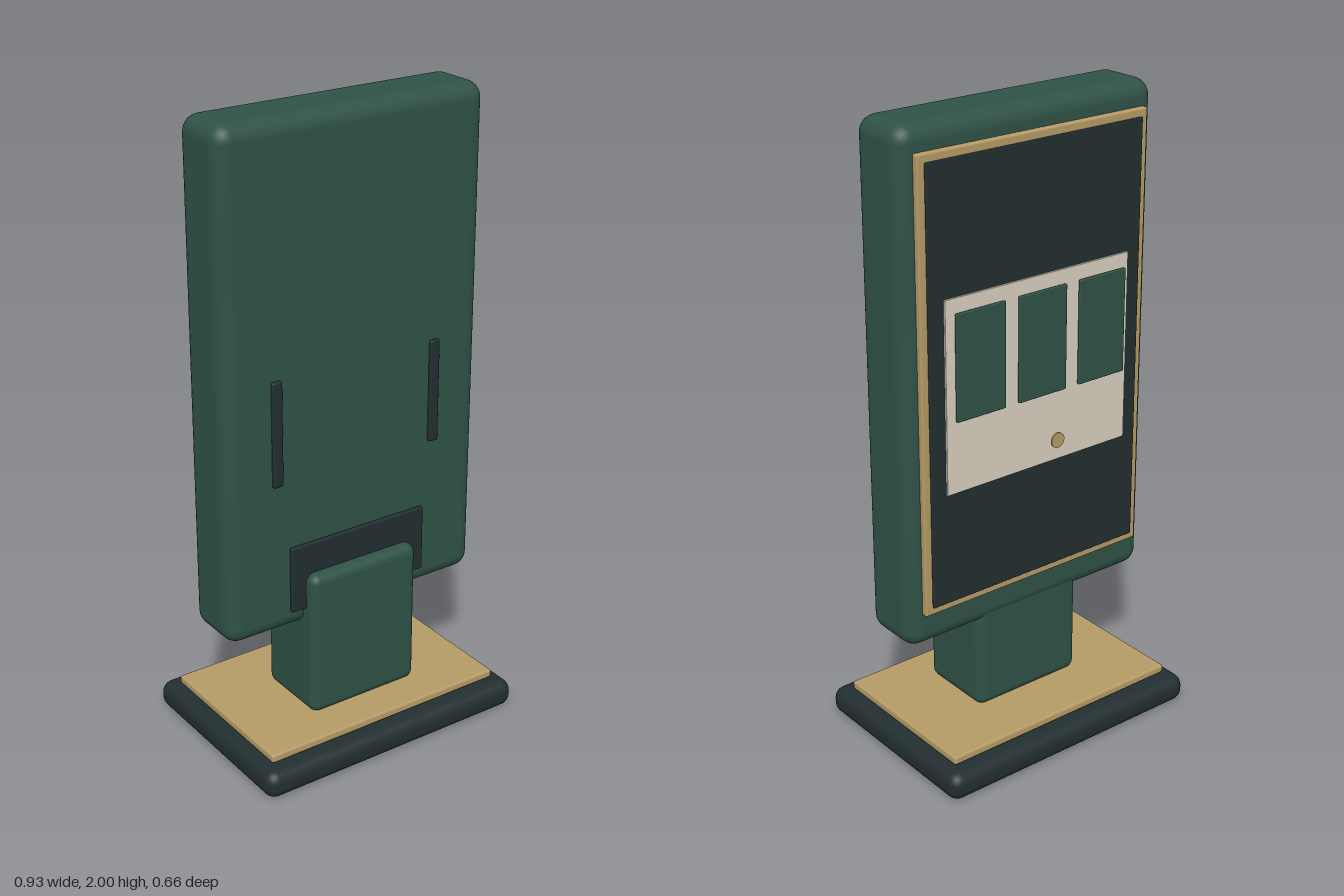
import * as THREE from 'three';
import { RoundedBoxGeometry } from 'three/addons/geometries/RoundedBoxGeometry.js';

function material(name, color) {
  const m = new THREE.MeshStandardMaterial({ color });
  m.name = name;
  return m;
}

export function createModel() {
  const green = material('deep green', 0x2f5246);
  const dark = material('charcoal', 0x222e30);
  const gold = material('brass', 0xb59b66);
  const cream = material('cream', 0xd8cfbf);

  const model = new THREE.Group();
  model.name = 'displayKiosk';

  // Rounded box given by its extents along each axis
  function box(name, mat, [x0, x1], [y0, y1], [z0, z1], radius) {
    const geo = new RoundedBoxGeometry(x1 - x0, y1 - y0, z1 - z0, 4, radius);
    const mesh = new THREE.Mesh(geo, mat);
    mesh.name = name;
    mesh.position.set((x0 + x1) / 2, (y0 + y1) / 2, (z0 + z1) / 2);
    model.add(mesh);
    return mesh;
  }

  // Foot and stand
  box('base', dark, [-0.467, 0.467], [0, 0.09], [-0.33, 0.33], 0.038);
  box('basePlate', gold, [-0.42, 0.42], [0.092, 0.12], [-0.272, 0.272], 0.008);
  box('stand', green, [-0.195, 0.195], [0.115, 0.597], [-0.1, 0.16], 0.03);

  // Upright housing
  box('housing', green, [-0.457, 0.457], [0.415, 2], [-0.106, 0.106], 0.052);

  // Front fittings
  box('standBracket', dark, [-0.244, 0.244], [0.48, 0.697], [0.106, 0.122], 0.005);
  for (const side of [-1, 1]) {
    const x = side * 0.282;
    box('ventSlot', dark, [x - 0.017, x + 0.017], [0.91, 1.242], [0.1, 0.117], 0.006);
  }

  // Screen on the back, layer by layer
  box('screenFrame', gold, [-0.41, 0.41], [0.53, 1.925], [-0.126, -0.104], 0.006);
  box('screen', dark, [-0.386, 0.386], [0.555, 1.9], [-0.134, -0.12], 0.003);
  box('screenPanel', cream, [-0.336, 0.336], [0.91, 1.507], [-0.141, -0.133], 0.002);
  for (const x of [-0.226, -0.002, 0.222]) {
    box('screenCard', green, [x - 0.088, x + 0.088], [1.138, 1.466], [-0.158, -0.148], 0.004);
  }

  // Round button below the cards
  const button = new THREE.Mesh(new THREE.CylinderGeometry(0.024, 0.024, 0.006, 20), gold);
  button.name = 'screenButton';
  button.rotation.x = Math.PI / 2;
  button.position.set(-0.05, 0.988, -0.168);
  model.add(button);

  return model;
}
